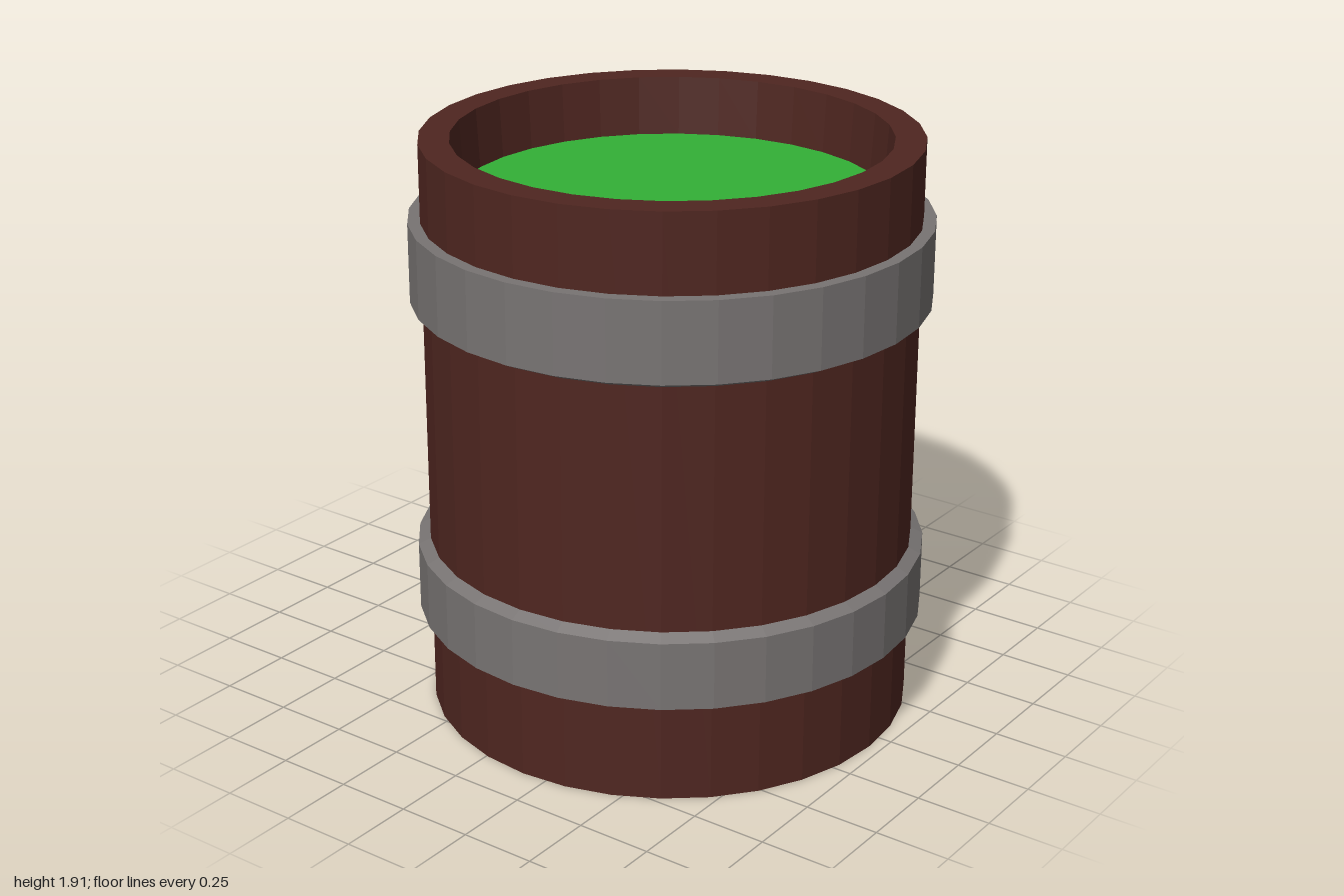
import * as THREE from 'three';

const SIDES = 32;
const BODY_R = 0.795, BAND_R = 0.835, HEIGHT = 1.915;

const flat = (color) => new THREE.MeshStandardMaterial({ color, flatShading: true });

export function createModel() {
  const wood = flat(0x4f2620), metal = flat(0x787473), green = flat(0x33b036);
  const model = new THREE.Group();
  model.name = 'mug';
  model.position.set(0.163, 0, 0.067);

  const add = (name, geometry, material) => {
    const mesh = new THREE.Mesh(geometry, material);
    mesh.name = name;
    model.add(mesh);
    return mesh;
  };
  const lathe = (points) =>
    new THREE.LatheGeometry(points.map(([r, y]) => new THREE.Vector2(r, y)), SIDES);

  // Wooden cup with a flat rim and a slightly tapered inner wall
  add('cup', lathe([
    [0, 0], [BODY_R, 0], [BODY_R, HEIGHT], [0.697, HEIGHT], [0.685, 1.715],
  ]), wood);

  // Drink surface
  const drink = add('drink', new THREE.CircleGeometry(0.686, SIDES), green);
  drink.rotation.x = -Math.PI / 2;
  drink.position.y = 1.72;

  // Metal bands, each chamfered on the edge facing the handle
  add('lowerBand', lathe([
    [BODY_R, 0.335], [BAND_R, 0.335], [BAND_R, 0.56], [BODY_R, 0.58],
  ]), metal);
  add('upperBand', lathe([
    [BODY_R, 1.38], [BAND_R, 1.4], [BAND_R, 1.66], [BODY_R, 1.66],
  ]), metal);

  // Square C-shaped handle, as wide as one stave and centred on it
  const inner = 0.78, outer = 1.438, grip = 1.242;
  const shape = new THREE.Shape([
    [inner, 0.58], [outer, 0.58], [outer, 1.38], [inner, 1.38],
    [inner, 1.115], [grip, 1.115], [grip, 0.85], [inner, 0.85],
  ].map(([x, y]) => new THREE.Vector2(x, y)));
  const width = 2 * BODY_R * Math.sin(Math.PI / SIDES);
  const handleGeometry = new THREE.ExtrudeGeometry(shape, { depth: width, bevelEnabled: false });
  handleGeometry.translate(0, 0, -width / 2);
  const handle = add('handle', handleGeometry, wood);
  handle.rotation.y = Math.PI - 3.5 * (2 * Math.PI / SIDES);

  const group = new THREE.Group();
  group.add(model);
  return group;
}
